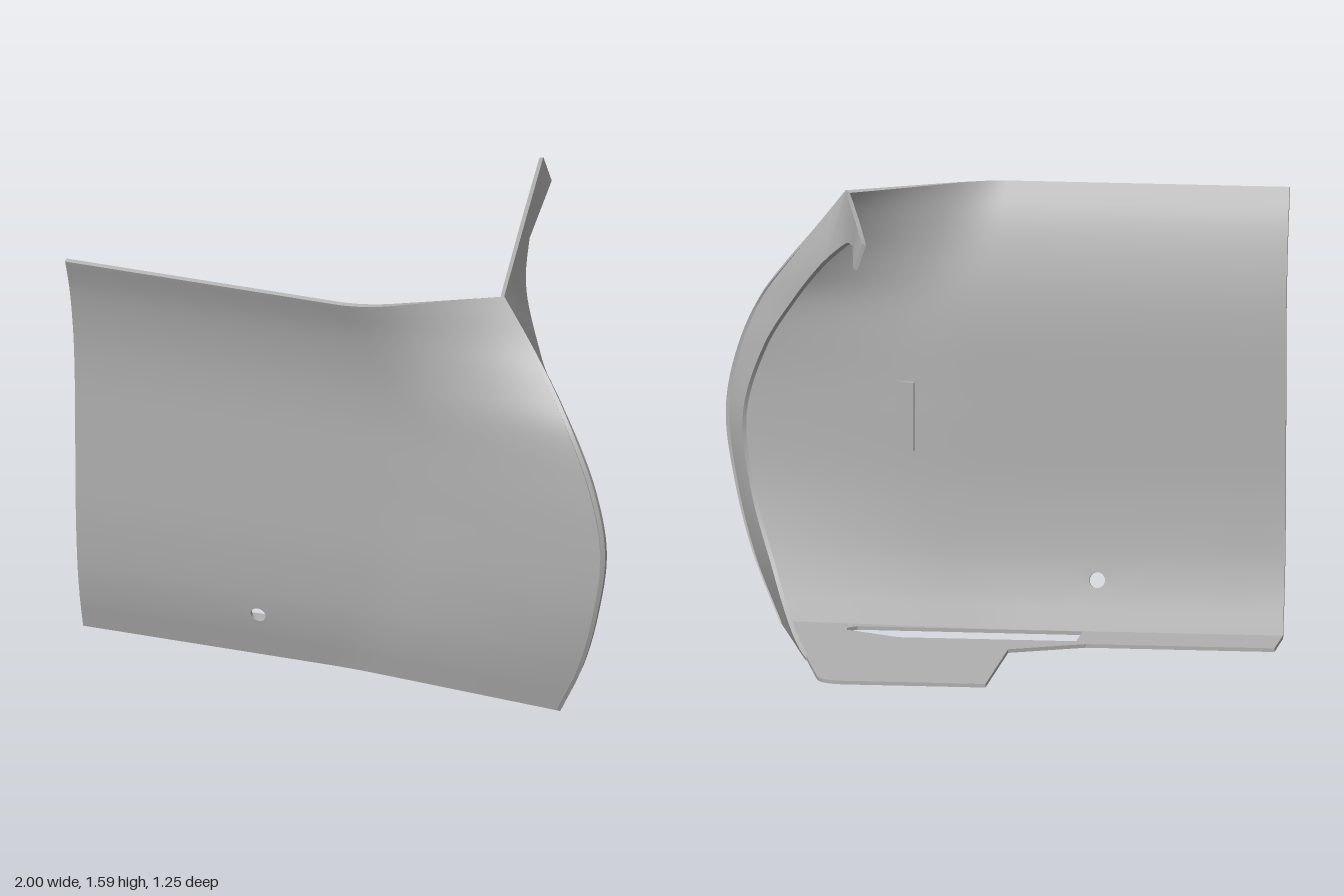
import * as THREE from 'three';
import { toCreasedNormals } from 'three/addons/utils/BufferGeometryUtils.js';

const THICK = 0.015;
const { lerp, degToRad } = THREE.MathUtils;

// Smooth interpolation through keys: each key is [t, value, value...]
function curve(keys) {
  const n = keys[0].length - 1;
  const c = new THREE.CubicInterpolant(keys.map(k => k[0]), keys.flatMap(k => k.slice(1)), n, new Array(n));
  return t => [...c.evaluate(t)];
}

// Front corner edge: y -> x, z
const edge = curve([[0, 0.79, 0.48], [0.22, 0.89, 0.545], [0.48, 0.965, 0.598], [0.75, 1, 0.615],
  [0.98, 0.955, 0.602], [1.17, 0.87, 0.565], [1.3, 0.775, 0.495], [1.44, 0.66, 0.425], [1.58, 0.55, 0.38]]);
// Panel profile: y -> z of the straight part, x of the vertical bend
const profile = curve([[0, 0.415, 0], [0.19, 0.465, 0.09], [0.45, 0.495, 0.17], [0.8, 0.505, 0.21],
  [1.1, 0.513, 0.2], [1.26, 0.53, 0.17], [1.45, 0.572, 0.13], [1.58, 0.62, 0.1]]);
// Wheel-arch opening: angle -> x
const archX = curve([[-90, 0.62], [-65, 0.72], [-45, 0.8], [-20, 0.9], [0, 0.93], [20, 0.85],
  [37, 0.73], [50, 0.64], [68, 0.53], [90, 0.455]]);

function panelPoint(u, y) {
  const [xr, zr] = edge(y), [zl, bend] = profile(y), w = 0.1;
  const x = u < 0 ? u : u * xr;
  const soft = d => d < -w ? 0 : d > w ? d : (d + w) ** 2 / (4 * w);
  return new THREE.Vector3(x, y, zl + (zr - zl) / (xr - bend) * soft(x - bend));
}

// u runs from the outer edge to the opening; v is an angle, above 90 the straight strip
const TOP = 55, BOTTOM = -48;
function wallPoint(u, v) {
  const back = Math.max(0, v - 90) / 100, a = degToRad(Math.min(v, 90));
  const inner = new THREE.Vector3(archX(Math.min(v, 90))[0] - back * 0.13,
    0.75 + 0.74 * Math.sin(a), -0.2 + 0.71 * Math.cos(a) - back);
  const outer = new THREE.Vector3();
  if (v > TOP) {
    const k = Math.min(1, (v - TOP) / (90 - TOP));
    outer.set(lerp(0.55, 0.445, k) - back * 0.18, 1.58, lerp(0.38, -0.2, k) - back);
  } else if (v < BOTTOM) {
    const k = (BOTTOM - v) / (BOTTOM + 90);
    outer.set(lerp(0.79, 0.62, k), 0, lerp(0.48, -0.2, k));
  } else {
    const k = Math.tan(a);
    const y = v > 0 ? 0.75 + 0.83 * k / Math.tan(degToRad(TOP)) : 0.75 - 0.75 * k / Math.tan(degToRad(BOTTOM));
    const [x, z] = edge(Math.min(1.58, Math.max(0, y)));
    outer.set(x, y, z);
  }
  return outer.lerp(inner, u);
}

// Thick sheet over a grid of us and vs, with an optional round hole {u, v, r} filling one cell
function sheet(point, us, vs, hole) {
  const pos = [];
  const inside = (t, list) => Math.min(list[list.length - 1], Math.max(list[0], t));
  const pair = (u, v) => {
    const p = point(u, v);
    const d = (du, dv) => point(inside(u + du, us), inside(v + dv, vs))
      .sub(point(inside(u - du, us), inside(v - dv, vs)));
    const n = d(0.004, 0).cross(d(0, 0.004)).normalize();
    return [p, p.clone().addScaledVector(n, -THICK)];
  };
  const quad = (a, b, c, d) => [a, b, c, a, c, d].forEach(p => pos.push(p.x, p.y, p.z));
  const both = (a, b, c, d) => { quad(a[0], b[0], c[0], d[0]); quad(d[1], c[1], b[1], a[1]); };
  const rim = (a, b) => quad(a[0], a[1], b[1], b[0]);
  const g = us.map(u => vs.map(v => pair(u, v)));
  const nu = us.length - 1, nv = vs.length - 1;
  for (let i = 0; i < nu; i++) for (let j = 0; j < nv; j++) {
    const holed = hole && us[i] < hole.u && us[i + 1] > hole.u && vs[j] < hole.v && vs[j + 1] > hole.v;
    if (!holed) { both(g[i][j], g[i + 1][j], g[i + 1][j + 1], g[i][j + 1]); continue; }
    const half = (us[i + 1] - us[i]) / 2, N = 24;
    const ring = (k, square) => {
      const a = k / N * Math.PI * 2, c = Math.cos(a), s = Math.sin(a);
      const r = square ? half / Math.max(Math.abs(c), Math.abs(s)) : hole.r;
      return pair(hole.u + r * c, hole.v + r * s);
    };
    for (let k = 0; k < N; k++) {
      const a = ring(k, false), b = ring(k + 1, false);
      both(a, ring(k, true), ring(k + 1, true), b);
      rim(b, a);
    }
  }
  for (let i = 0; i < nu; i++) { rim(g[i][0], g[i + 1][0]); rim(g[i + 1][nv], g[i][nv]); }
  for (let j = 0; j < nv; j++) { rim(g[nu][j], g[nu][j + 1]); rim(g[0][j + 1], g[0][j]); }
  const geo = new THREE.BufferGeometry();
  geo.setAttribute('position', new THREE.Float32BufferAttribute(pos, 3));
  return toCreasedNormals(geo, 0.6);
}

const steps = (a, b, n) => Array.from({ length: n }, (_, i) => a + (b - a) * i / n);

// Horizontal plate from [x, z] corners
function plate(outline, depth, holes = []) {
  const pts = list => list.map(([x, z]) => new THREE.Vector2(x, -z));
  const shape = new THREE.Shape(pts(outline));
  holes.forEach(h => shape.holes.push(new THREE.Path(pts(h))));
  return new THREE.ExtrudeGeometry(shape, { depth, bevelEnabled: false }).rotateX(-Math.PI / 2);
}

export function createModel() {
  const model = new THREE.Group();
  model.name = 'cornerPanel';
  const grey = new THREE.MeshStandardMaterial({ color: 0xb0b0b0, side: THREE.DoubleSide });
  grey.name = 'plain grey';
  const add = (name, geo) => {
    const mesh = new THREE.Mesh(geo, grey);
    mesh.name = name;
    model.add(mesh);
    return mesh;
  };

  // Curved front panel with a small drilled hole
  const us = [...steps(-1, -0.385, 4), -0.385, -0.285, -0.2, ...steps(-0.12, 0.4, 26), ...steps(0.4, 1, 12), 1];
  const vs = [0, 0.045, 0.09, 0.135, ...steps(0.235, 1.58, 38), 1.58];
  add('frontPanel', sheet(panelPoint, us, vs, { u: -0.335, v: 0.185, r: 0.028 }));

  // Side wall around the arch, continuing into the upper strip
  const angles = [...steps(-90, BOTTOM, 14), ...steps(BOTTOM, TOP, 50), ...steps(TOP, 90, 14), ...steps(90, 132, 4), 132];
  add('sideWall', sheet(wallPoint, [0, 0.25, 0.5, 0.75, 1], angles));

  // Floor flange with rounded rear corner and slot
  const corner = steps(0, 1, 6).map(k => {
    const a = k * Math.PI / 2;
    return [0.44 + 0.1 * Math.sin(a), -0.53 - 0.1 * Math.cos(a)];
  });
  add('floorFlange', plate(
    [[-1, 0.41], [-1, 0.16], [-0.33, 0.16], [-0.07, 0.03], [-0.07, -0.63], ...corner,
      [0.545, -0.52], [0.63, -0.14], [0.785, 0.475], [0.1, 0.412], [-0.1, 0.41]], 0.013,
    [[[-0.29, 0.21], [0.34, 0.21], [0.54, 0.33], [0.54, 0.37], [0.51, 0.4], [-0.29, 0.395]]]));

  // Small wedge stop on the inside of the panel
  add('innerStop', plate([[0.32, 0.475], [0.32, 0.512], [0.39, 0.515]], 0.245)).position.y = 0.63;

  return model;
}
